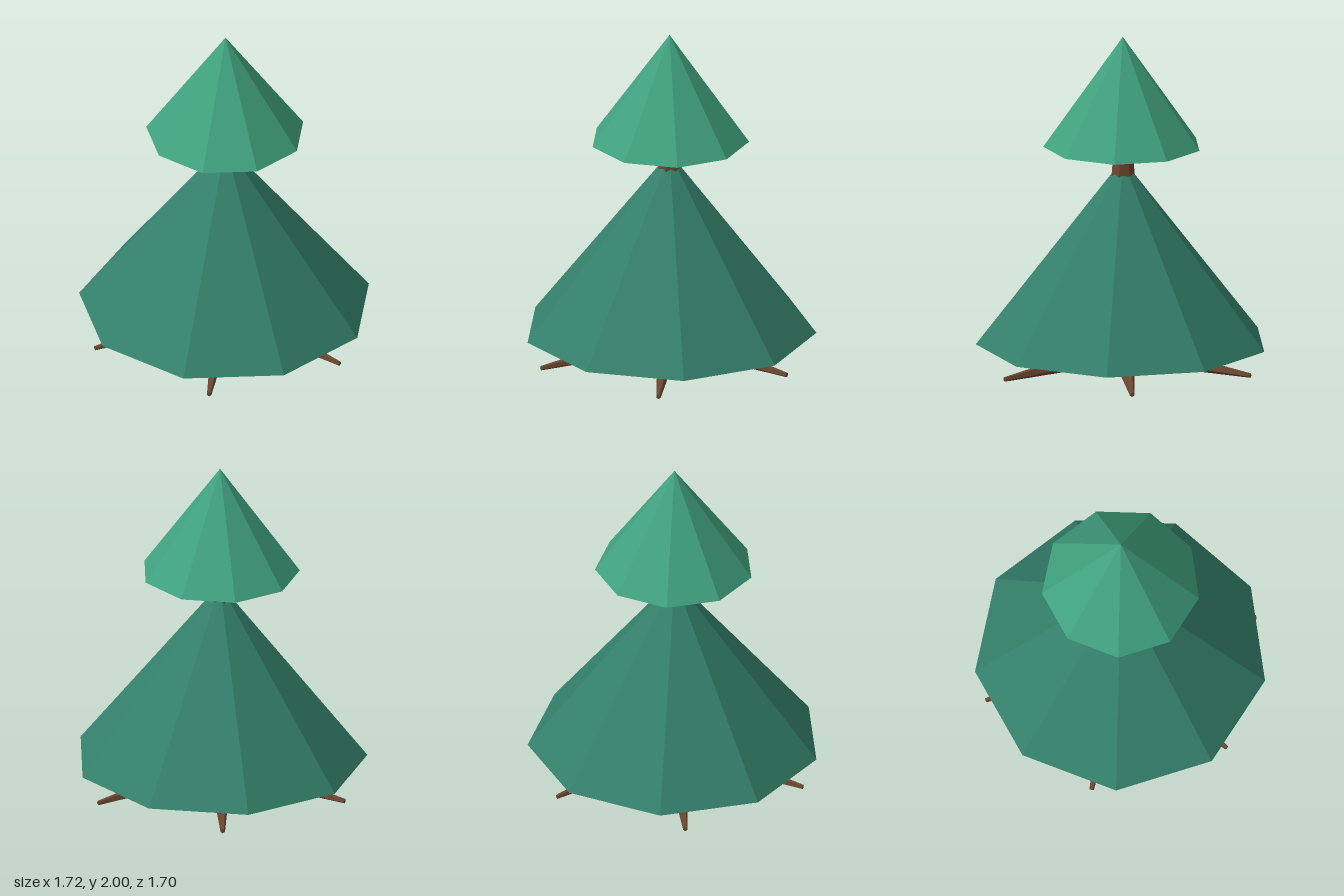
import * as THREE from 'three';

const paint = (color) => new THREE.MeshStandardMaterial({ color, flatShading: true });

export function createModel() {
  const model = new THREE.Group();
  const tree = new THREE.Group();
  tree.name = 'tree';
  tree.position.z = 0.025;
  model.add(tree);

  const bark = paint(0x6b4730);
  const teal = paint(0x12b5a0);

  const add = (parent, name, geometry, material) => {
    const mesh = new THREE.Mesh(geometry, material);
    mesh.name = name;
    parent.add(mesh);
    return mesh;
  };

  // Nine-sided foliage tiers, one corner pointing to the back
  const tier = (name, radius, bottom, top, color) => {
    const cone = new THREE.ConeGeometry(radius, top - bottom, 9).rotateY(Math.PI);
    cone.translate(0, (top + bottom) / 2, 0);
    add(tree, name, cone, paint(color));
  };
  tier('lowerFoliage', 0.875, 0.132, 1.25, 0x34806a);
  tier('upperFoliage', 0.474, 1.335, 2, 0x40a280);

  // Tapered seven-sided trunk
  const trunkHeight = 1.4;
  const trunk = new THREE.CylinderGeometry(0.05, 0.175, trunkHeight, 7).rotateY(Math.PI);
  add(tree, 'trunk', trunk.translate(0, trunkHeight / 2, 0), bark);

  // Six pointed roots, sloping down to blunt tips, with a keel underneath
  const start = new THREE.Vector2(0.09, 0.072);
  const tip = new THREE.Vector2(0.845, 0.02);
  const slope = tip.clone().sub(start);
  const rootShape = new THREE.CylinderGeometry(0.014, 0.067, slope.length(), 5)
    .rotateZ(-Math.PI / 2)
    .rotateX(Math.PI / 2)
    .rotateZ(slope.angle())
    .translate((start.x + tip.x) / 2, (start.y + tip.y) / 2, 0);
  for (let i = 0; i < 6; i++) {
    add(tree, 'root', rootShape, bark).rotation.y = (i * Math.PI) / 3;
  }

  // Ring under the foliage with four beads
  const ring = new THREE.Group();
  ring.name = 'beadedRing';
  ring.position.y = 0.116;
  tree.add(ring);
  add(ring, 'ring', new THREE.TorusGeometry(0.505, 0.014, 6, 32).rotateX(Math.PI / 2), teal);
  const beadShape = new THREE.IcosahedronGeometry(0.029, 1);
  for (let i = 0; i < 4; i++) {
    const a = (i * Math.PI) / 2;
    add(ring, 'bead', beadShape, teal).position.set(0.505 * Math.cos(a), 0, 0.505 * Math.sin(a));
  }

  return model;
}
